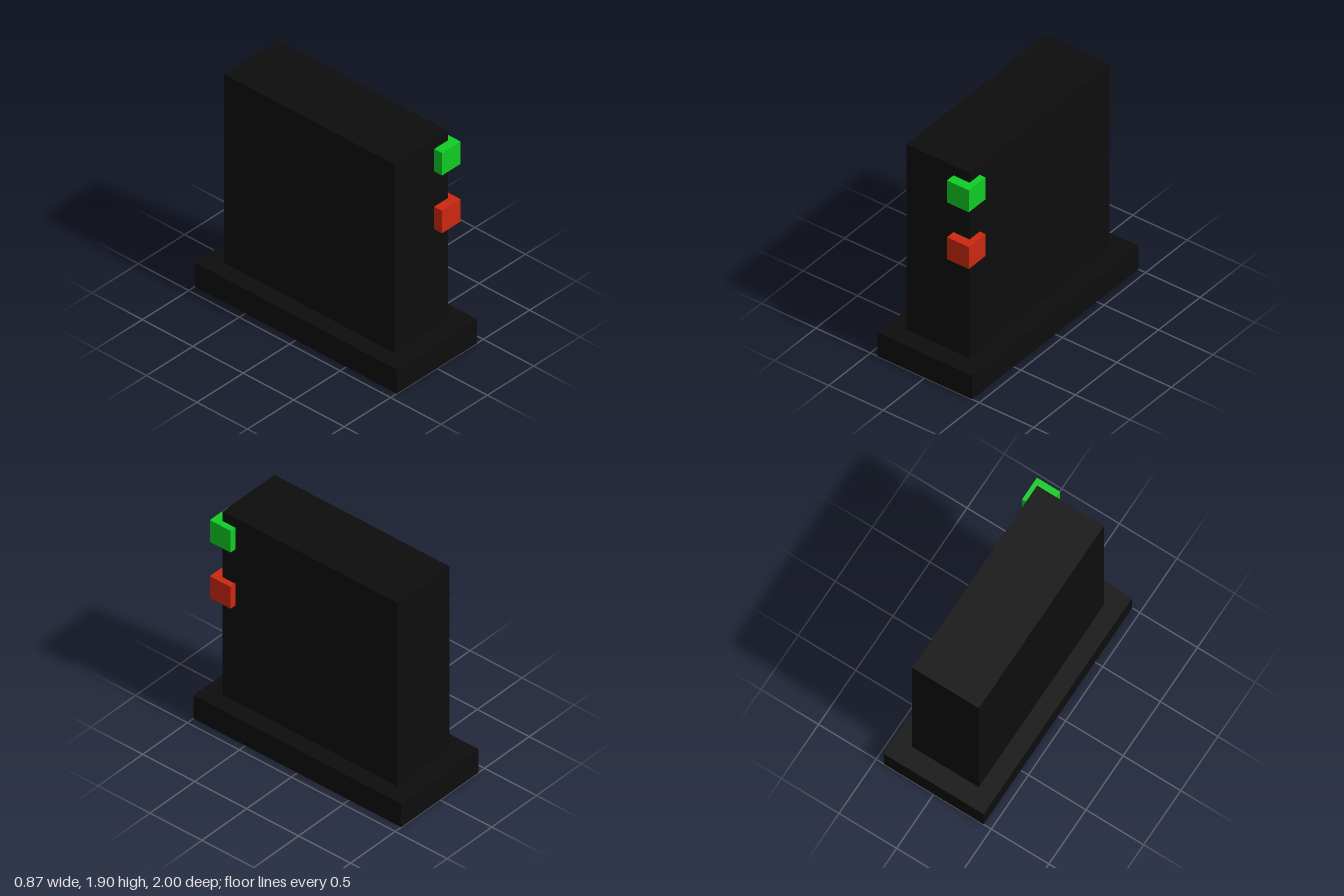
import * as THREE from 'three';

export function createModel() {
  const model = new THREE.Group();
  model.name = 'computerTower';

  // Box standing with its underside at height y
  const addBox = (name, color, [w, h, d], [x, y, z]) => {
    const mesh = new THREE.Mesh(
      new THREE.BoxGeometry(w, h, d),
      new THREE.MeshStandardMaterial({ color })
    );
    mesh.name = name;
    mesh.position.set(x, y + h / 2, z);
    model.add(mesh);
  };

  const black = 0x0d0d0d;
  const baseHeight = 0.215;

  // Wide plinth and the tall casing on top of it
  addBox('base', black, [0.866, baseHeight, 2], [0, 0, 0]);
  addBox('casing', black, [0.58, 1.9 - baseHeight, 1.684], [0, baseHeight, 0]);

  // Indicator cubes set into the front left edge of the casing
  const cube = [0.2, 0.2, 0.2];
  addBox('greenLight', 0x10cc24, cube, [0.242, 1.612, 0.82]);
  addBox('redLight', 0xcc2810, cube, [0.242, 1.096, 0.82]);

  return model;
}
